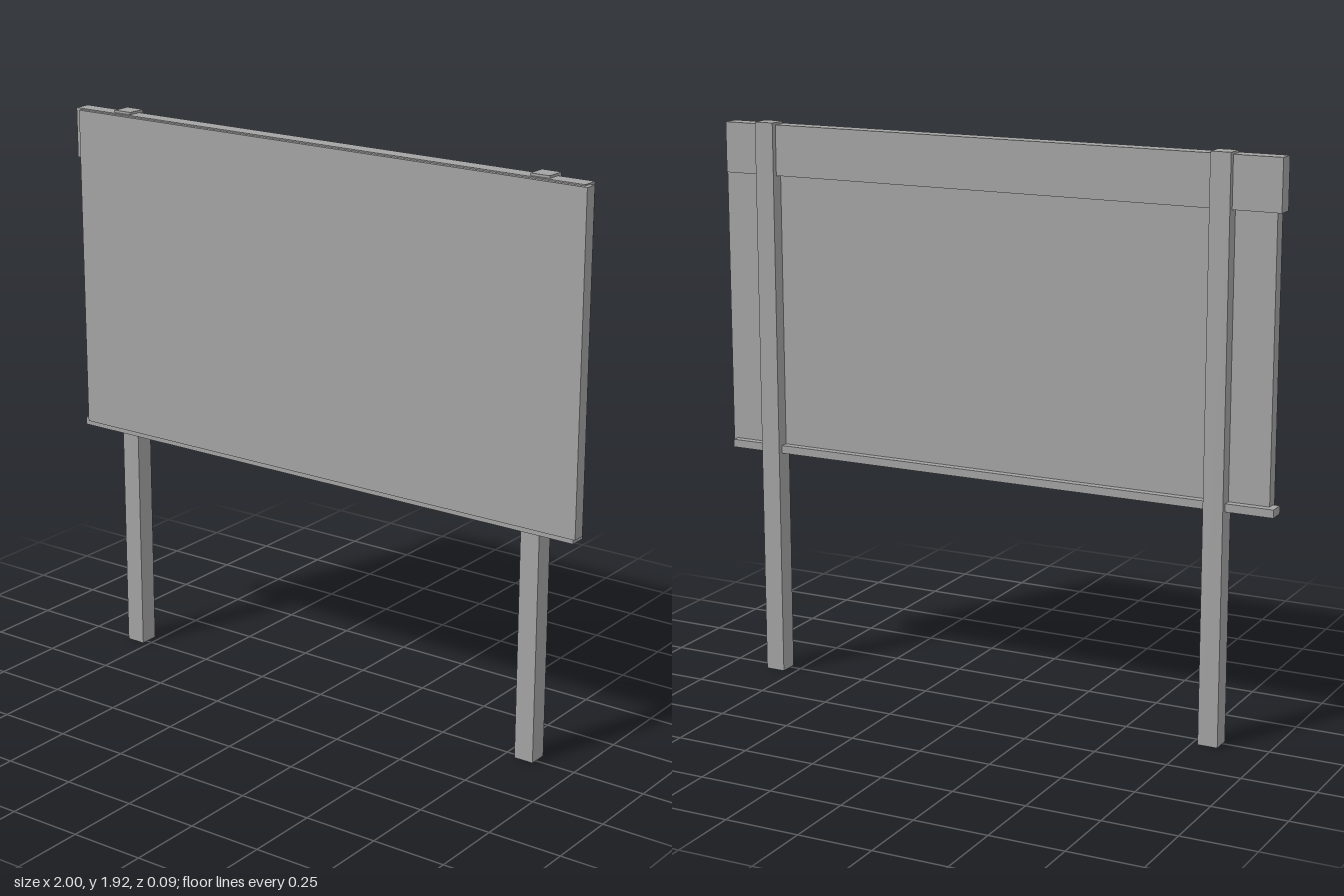
import * as THREE from 'three';

export function createModel() {
  const group = new THREE.Group();
  const grey = new THREE.MeshStandardMaterial({ color: 0xa3a3a3 });
  grey.name = 'grey';

  // Box given by its lower and upper limits on each axis
  const box = (name, [x0, x1], [y0, y1], [z0, z1]) => {
    const mesh = new THREE.Mesh(new THREE.BoxGeometry(x1 - x0, y1 - y0, z1 - z0), grey);
    mesh.position.set((x0 + x1) / 2, (y0 + y1) / 2, (z0 + z1) / 2);
    mesh.name = name;
    group.add(mesh);
  };

  // Sign face
  box('panel', [-0.977, 1], [0.803, 1.906], [0.001, 0.045]);

  // Rails behind the panel
  const railX = [-1, 0.985], railZ = [-0.026, 0.031];
  box('topRail', railX, [1.74, 1.91], railZ);
  box('bottomRail', railX, [0.783, 0.81], railZ);

  // Posts
  for (const [name, x] of [['rightPost', -0.805], ['leftPost', 0.824]]) {
    box(name, [x - 0.034, x + 0.034], [0, 1.918], [-0.045, 0.021]);
  }
  return group;
}
